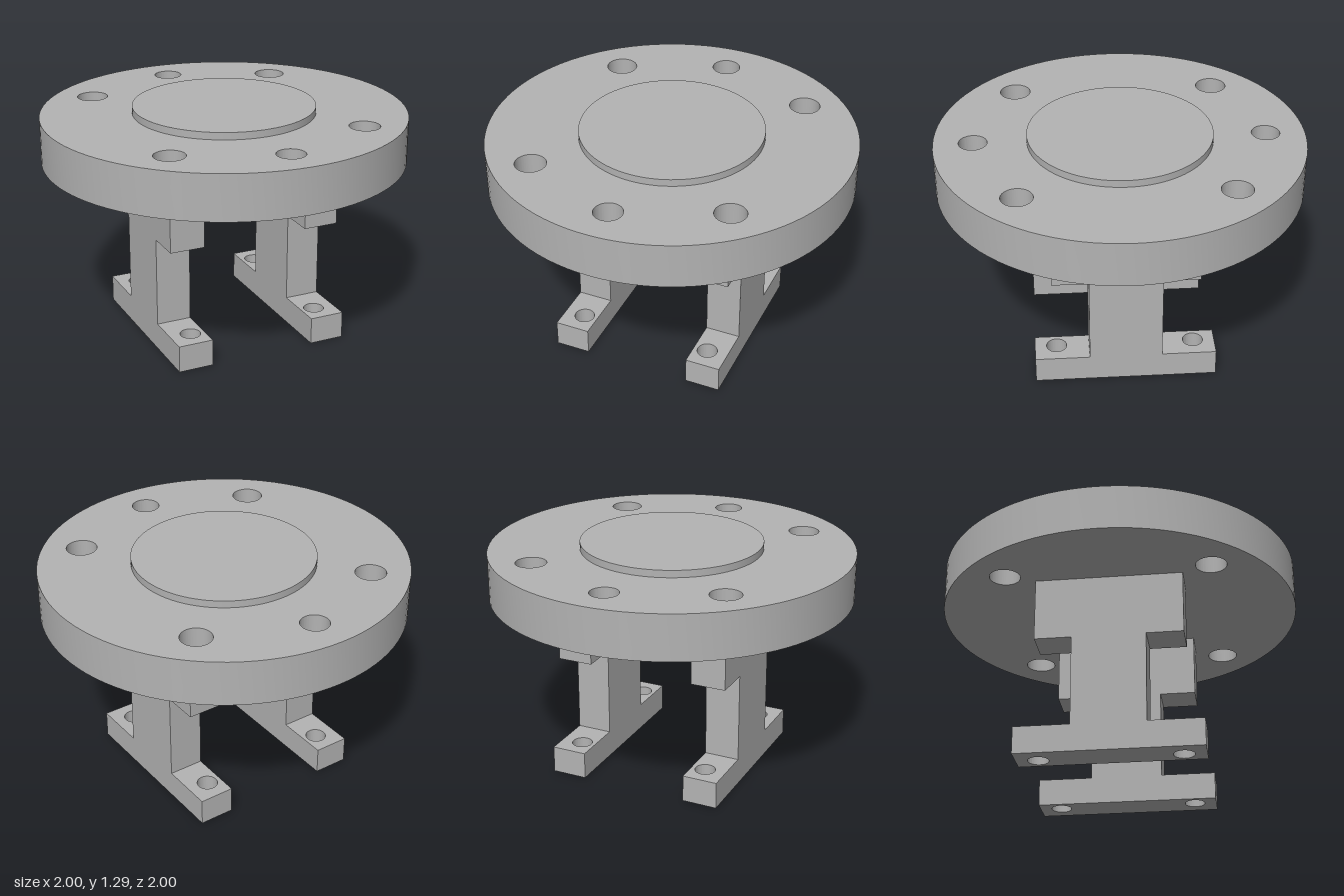
import * as THREE from 'three';
import { toCreasedNormals } from 'three/addons/utils/BufferGeometryUtils.js';

const steel = new THREE.MeshStandardMaterial({ color: 0xb3b3b3 });
steel.name = 'grey steel';

function addMesh(parent, name, geometry) {
  const mesh = new THREE.Mesh(geometry, steel);
  mesh.name = name;
  parent.add(mesh);
  return mesh;
}

// Flat plate: outline drawn in (x, -z), round holes [x, z, r], spanning y0..y1
function plate(shape, holes, y0, y1) {
  for (const [x, z, r] of holes) {
    shape.holes.push(new THREE.Path().absarc(x, -z, r, 0, Math.PI * 2, true));
  }
  const g = new THREE.ExtrudeGeometry(shape, { depth: y1 - y0, bevelEnabled: false, curveSegments: 48 });
  g.rotateX(-Math.PI / 2).translate(0, y0, 0);
  return toCreasedNormals(g, 0.6);
}

function polygon(points) {
  return new THREE.Shape(points.map(([x, y]) => new THREE.Vector2(x, y)));
}

const INNER = 0.3, OUTER = 0.495; // leg thickness in x

function createLeg(side, name) {
  const leg = new THREE.Group();
  leg.name = name;
  const a = side > 0 ? INNER : -OUTER;
  const b = side > 0 ? OUTER : -INNER;

  // Foot with two bolt holes
  const outline = polygon([[a, -0.5], [b, -0.5], [b, 0.5], [a, 0.5]]);
  const bolts = [-0.38, 0.38].map((z) => [side * 0.378, z, 0.056]);
  addMesh(leg, 'foot', plate(outline, bolts, 0, 0.15));

  // Narrow web widening into the head under the flange
  const profile = polygon([
    [-0.2, 0.15], [0.2, 0.15], [0.2, 0.65], [0.4, 0.65],
    [0.4, 1], [-0.4, 1], [-0.4, 0.65], [-0.2, 0.65],
  ]);
  const web = new THREE.ExtrudeGeometry(profile, { depth: b - a, bevelEnabled: false });
  web.rotateY(Math.PI / 2).translate(a, 0, 0);
  addMesh(leg, 'web', web);
  return leg;
}

export function createModel() {
  const model = new THREE.Group();
  model.name = 'flangedStand';

  // Round flange: four through holes and two blind holes on one bolt circle
  const holes = [[0, -0.787, 0.077], [0, 0.787, 0.077]];
  for (const x of [-0.557, 0.557]) {
    for (const z of [-0.557, 0.557]) holes.push([x, z, 0.084]);
  }
  const disc = new THREE.Shape().absarc(0, 0, 1, 0, Math.PI * 2, false);
  addMesh(model, 'flange', plate(disc, holes, 1, 1.25));

  // Floors of the blind holes
  for (const z of [-0.787, 0.787]) {
    addMesh(model, 'blindHoleFloor', new THREE.CylinderGeometry(0.077, 0.077, 0.1, 96))
      .position.set(0, 1.05, z);
  }

  // Raised centre face
  addMesh(model, 'raisedFace', new THREE.CylinderGeometry(0.5, 0.5, 0.04, 96)).position.y = 1.27;

  model.add(createLeg(1, 'leftLeg'), createLeg(-1, 'rightLeg'));
  return model;
}
